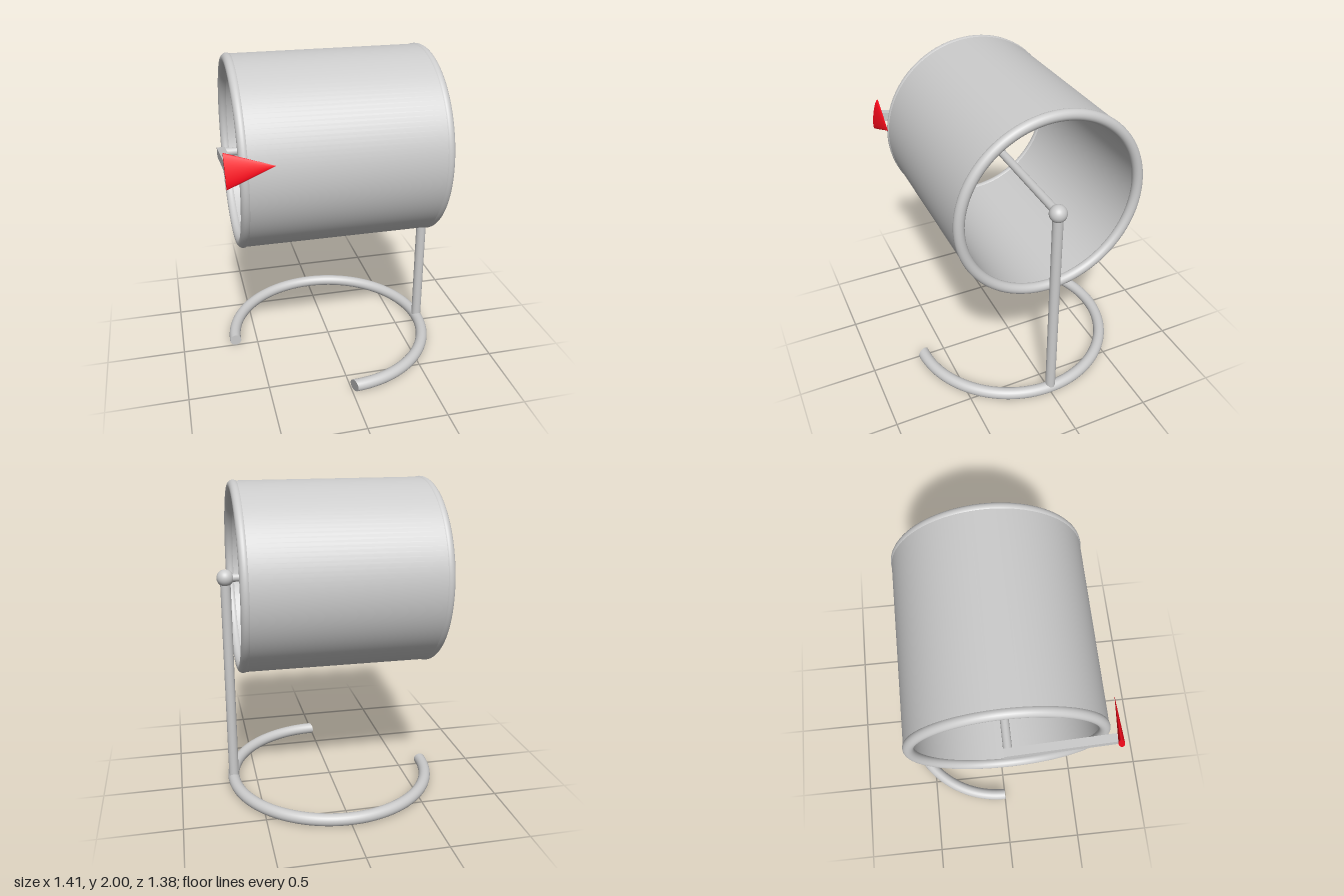
import * as THREE from 'three';

export function createModel() {
  const model = new THREE.Group();
  const grey = new THREE.MeshStandardMaterial({ color: 0xcccccc });
  const greyDouble = new THREE.MeshStandardMaterial({ color: 0xcccccc, side: THREE.DoubleSide });
  const red = new THREE.MeshStandardMaterial({ color: 0xff0a1c });

  const add = (parent, name, geometry, material = grey, x = 0, y = 0, z = 0) => {
    const mesh = new THREE.Mesh(geometry, material);
    mesh.name = name;
    mesh.position.set(x, y, z);
    parent.add(mesh);
    return mesh;
  };

  const axisY = 1.411;   // height of the drum axis
  const baseR = 0.652;   // base ring radius
  const rodR = 0.038;    // base ring rod radius
  const startX = 0.013;  // where the ring begins at the front

  // Base: three quarters of a ring, open at the front right
  const base = new THREE.Group();
  base.name = 'base';
  base.position.set(0.002, rodR, 0);
  model.add(base);
  const gap = startX / baseR;
  const ring = new THREE.TorusGeometry(baseR, rodR, 24, 96, Math.PI * 1.5 - gap);
  ring.rotateZ(-Math.PI / 2 + gap).rotateX(-Math.PI / 2);
  const frontCap = new THREE.CircleGeometry(rodR, 24);
  frontCap.rotateY(-Math.PI / 2).translate(startX, 0, baseR);
  // The front end of the rod is cut at a slant
  for (const geometry of [ring, frontCap]) {
    const p = geometry.attributes.position;
    for (let i = 0; i < p.count; i++) {
      const fade = Math.max(0, 1 - Math.abs(p.getX(i) - startX) / 0.12);
      if (p.getZ(i) > 0.5) p.setX(i, p.getX(i) + 0.4 * fade * (p.getZ(i) - baseR));
    }
  }
  add(base, 'baseRing', ring);
  add(base, 'baseRingFrontCap', frontCap);
  add(base, 'baseRingSideCap', new THREE.CircleGeometry(rodR, 24), grey, -baseR, 0, 0);

  // Post with a ball joint carrying the axle
  const postX = 0.654;
  const postFoot = 0.03;
  const post = new THREE.CylinderGeometry(0.032, 0.032, axisY - postFoot, 32);
  add(model, 'post', post, grey, postX, (axisY + postFoot) / 2, 0);
  add(model, 'ballJoint', new THREE.SphereGeometry(0.053, 32, 20), grey, postX, axisY, 0);
  const axle = new THREE.CylinderGeometry(0.026, 0.026, 1.31, 24).rotateZ(Math.PI / 2);
  add(model, 'axle', axle, grey, 0, axisY, 0);

  // Open thick-walled drum; a rounded rim covers the wall at each end
  const drum = new THREE.Group();
  drum.name = 'drum';
  drum.position.set(-0.004, axisY, 0);
  model.add(drum);
  for (const [name, radius] of [['outerWall', 0.584], ['innerWall', 0.531]]) {
    const wall = new THREE.CylinderGeometry(radius, radius, 1.168, 128, 1, true).rotateZ(Math.PI / 2);
    add(drum, name, wall, greyDouble);
  }
  for (const side of [-1, 1]) {
    const rim = new THREE.TorusGeometry(0.557, 0.032, 24, 128).rotateY(Math.PI / 2);
    add(drum, side < 0 ? 'rightRim' : 'leftRim', rim, grey, side * 0.585, 0, 0);
  }

  // Crank arm, tilted up towards the front, with a flattened cone as pointer
  const crank = new THREE.Group();
  crank.name = 'crank';
  crank.position.set(-0.664, axisY, 0);
  crank.rotation.set(-0.2, -0.012, 0);
  model.add(crank);
  add(crank, 'crankArm', new THREE.BoxGeometry(0.048, 0.058, 0.64), grey, 0, 0, 0.298);
  const cone = new THREE.ConeGeometry(0.1, 0.272, 48).rotateZ(-Math.PI / 2).scale(1, 1, 0.18);
  add(crank, 'pointer', cone, red, 0.106, 0, 0.634).rotation.z = 0.03;

  return model;
}
